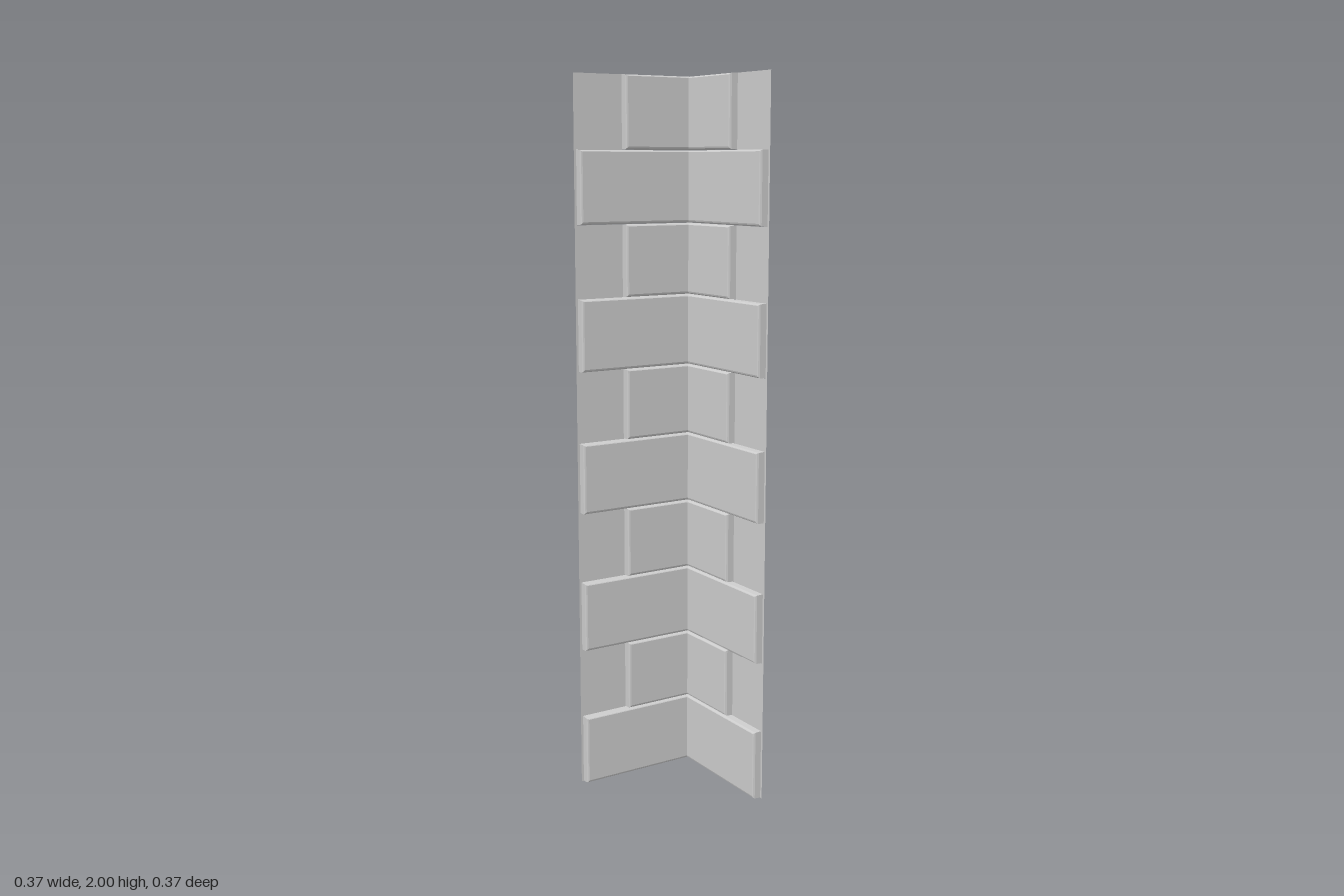
import * as THREE from 'three';

const ROWS = 10, ROW_H = 0.2;
const OUT = 0.187;            // outer wall plane on x and -z
const WALL = 0.374;           // full length of each arm
const LONG = 0.367, SHORT = 0.225;

const material = new THREE.MeshStandardMaterial({ color: 0xcccccc, side: THREE.DoubleSide });

// Depth into the inner corner, and inset of the ends, top and bottom
const RINGS = [
  { d: 0, end: 0, top: 0, bottom: 0.001 },
  { d: 0.019, end: 0, top: 0.001, bottom: 0.002 },
  { d: 0.0235, end: 0.002, top: 0.003, bottom: 0.005 },
  { d: 0.025, end: 0.006, top: 0.005, bottom: 0.009 },
];

function meshFromQuads(quads, name) {
  const pos = [];
  for (const [a, b, c, d] of quads) pos.push(...a, ...b, ...c, ...a, ...c, ...d);
  const geo = new THREE.BufferGeometry();
  geo.setAttribute('position', new THREE.Float32BufferAttribute(pos, 3));
  geo.computeVertexNormals();
  const mesh = new THREE.Mesh(geo, material);
  mesh.name = name;
  return mesh;
}

// L-shaped bevelled stone, open at the back, facing into the corner
function cornerStone(length, y) {
  const rings = RINGS.map(({ d, end, top, bottom }) => {
    const plan = [
      [OUT - length + end, -OUT + d],
      [OUT - d, -OUT + d],
      [OUT - d, -OUT + length - end],
    ];
    const at = (h) => plan.map(([x, z]) => [x, h, z]);
    return [...at(y + ROW_H - top), ...at(y + bottom).reverse()];
  });
  const quads = [];
  for (let k = 0; k < rings.length - 1; k++) {
    for (let i = 0; i < 6; i++) {
      const j = (i + 1) % 6;
      quads.push([rings[k][j], rings[k][i], rings[k + 1][i], rings[k + 1][j]]);
    }
  }
  const f = rings[rings.length - 1];
  quads.push([f[5], f[4], f[1], f[0]], [f[4], f[3], f[2], f[1]]);
  return meshFromQuads(quads, 'cornerStone');
}

// Flat wall strips from the ends of the stone to the ends of both arms
function wallStrips(length, y) {
  const x0 = OUT - WALL, x1 = OUT - length;
  const z0 = -OUT + length, z1 = -OUT + WALL;
  const t = y + ROW_H;
  return meshFromQuads([
    [[x0, y, -OUT], [x1, y, -OUT], [x1, t, -OUT], [x0, t, -OUT]],
    [[OUT, y, z0], [OUT, y, z1], [OUT, t, z1], [OUT, t, z0]],
  ], 'wallStrips');
}

export function createModel() {
  const group = new THREE.Group();
  group.name = 'cornerQuoins';
  // Long and short stones alternate up the corner
  for (let r = 0; r < ROWS; r++) {
    const length = r % 2 ? SHORT : LONG;
    const course = new THREE.Group();
    course.name = r % 2 ? 'shortCourse' : 'longCourse';
    course.add(cornerStone(length, r * ROW_H), wallStrips(length, r * ROW_H));
    group.add(course);
  }
  return group;
}
